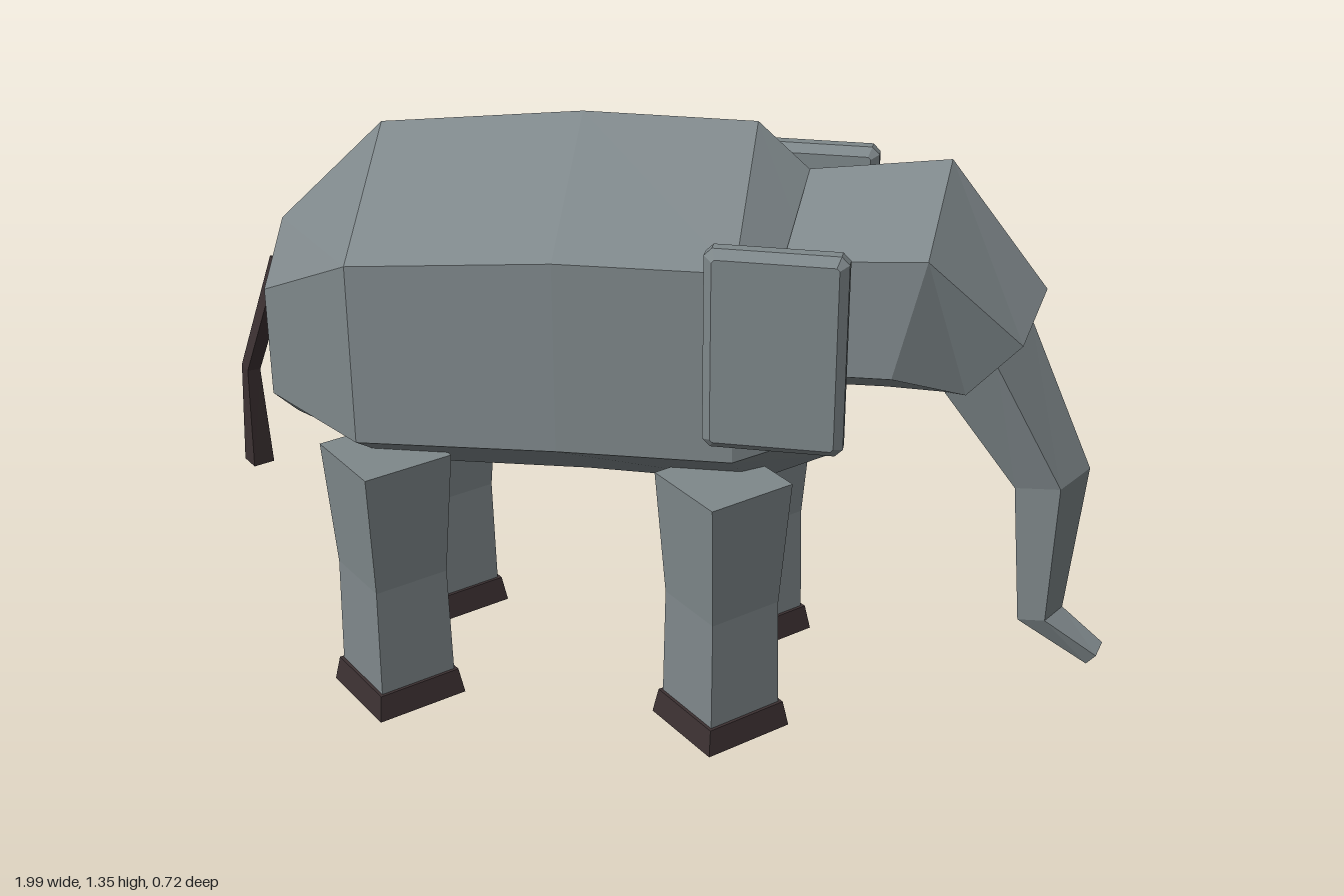
import * as THREE from 'three';

// Skin closed rings of points (counter-clockwise seen from the end ring), with flat caps
function loft(rings) {
  const pos = [];
  const tri = (a, b, c) => pos.push(...a, ...b, ...c);
  const n = rings[0].length;
  for (let i = 0; i < rings.length - 1; i++) {
    for (let j = 0; j < n; j++) {
      const k = (j + 1) % n;
      const [a, b, c, d] = [rings[i][j], rings[i][k], rings[i + 1][k], rings[i + 1][j]];
      tri(a, b, c);
      tri(a, c, d);
    }
  }
  const first = rings[0], last = rings[rings.length - 1];
  for (let j = 1; j < n - 1; j++) {
    tri(first[0], first[j + 1], first[j]);
    tri(last[0], last[j], last[j + 1]);
  }
  const g = new THREE.BufferGeometry();
  g.setAttribute('position', new THREE.Float32BufferAttribute(pos, 3));
  g.computeVertexNormals();
  return g;
}

// Six-sided ring: top ridge, upper side, lower side, bottom keel, each as [x, y]
const hexRing = (w, top, upper, lower, bottom) => [
  [...top, 0], [...upper, w], [...lower, w], [...bottom, 0], [...lower, -w], [...upper, -w],
];

// Regular ring in a plane holding the z axis; angle turns its first corner from +x
const roundRing = (sides, x, y, r, angle) => Array.from({ length: sides }, (_, i) => {
  const t = (i / sides) * Math.PI * 2;
  const u = Math.cos(t) * r;
  return [x + Math.cos(angle) * u, y + Math.sin(angle) * u, Math.sin(t) * r];
});

export function createModel() {
  const group = new THREE.Group();
  const hide = new THREE.MeshStandardMaterial({ color: 0x7f888b, flatShading: true });
  hide.name = 'greyHide';
  const dark = new THREE.MeshStandardMaterial({ color: 0x3c3132, flatShading: true });
  dark.name = 'darkBrown';

  const add = (name, geometry, material, parent = group) => {
    const mesh = new THREE.Mesh(geometry, material);
    mesh.name = name;
    parent.add(mesh);
    return mesh;
  };

  // Body: x, half width, then heights of ridge, upper side, lower side, keel
  const bodyStations = [
    [-0.86, 0.145, 1.06, 0.95, 0.70, 0.585],
    [-0.62, 0.31, 1.297, 1.09, 0.683, 0.483],
    [-0.18, 0.325, 1.347, 1.135, 0.71, 0.5],
    [0.19, 0.31, 1.347, 1.135, 0.71, 0.5],
    [0.36, 0.21, 1.195, 1.05, 0.74, 0.583],
  ];
  add('body', loft(bodyStations.map(([x, w, a, b, c, d]) =>
    hexRing(w, [x, a], [x, b], [x, c], [x, d]))), hide);

  // Head: slanted rings
  add('head', loft([
    hexRing(0.22, [0.30, 1.25], [0.275, 1.13], [0.25, 0.88], [0.235, 0.755]),
    hexRing(0.235, [0.593, 1.29], [0.567, 1.157], [0.505, 0.893], [0.48, 0.762]),
    hexRing(0.15, [0.805, 1.017], [0.765, 0.95], [0.655, 0.829], [0.602, 0.76]),
  ]), hide);

  // Trunk: five-sided, one edge facing forward
  add('trunk', loft([
    roundRing(5, 0.685, 0.862, 0.126, 0.735),
    roundRing(5, 0.841, 0.584, 0.089, 0.226),
    roundRing(5, 0.843, 0.236, 0.055, 0.25),
    roundRing(5, 0.974, 0.139, 0.032, 0.985),
  ]), hide);

  // Tail: four-sided, widening to the tuft
  add('tail', loft([
    roundRing(4, -0.873, 0.957, 0.025, -0.4),
    roundRing(4, -0.965, 0.687, 0.022, -0.2),
    roundRing(4, -0.965, 0.447, 0.035, 0),
  ]), dark);

  // Ears: thin bevelled slabs with clipped corners
  const bevel = 0.018, hw = 0.145 - bevel, hh = 0.22 - bevel, c = 0.006;
  const outline = new THREE.Shape([
    [-hw + c, -hh], [hw - c, -hh], [hw, -hh + c], [hw, hh - c],
    [hw - c, hh], [-hw + c, hh], [-hw, hh - c], [-hw, -hh + c],
  ].map(([x, y]) => new THREE.Vector2(x, y)));
  const earGeometry = new THREE.ExtrudeGeometry(outline, {
    depth: 0.024, bevelEnabled: true, bevelSegments: 1, bevelSize: bevel, bevelThickness: bevel,
  }).translate(0, 0, -0.012);

  // Legs: diamond section with a slight waist, on flared feet
  const upperLeg = new THREE.CylinderGeometry(0.149, 0.125, 0.295, 4).translate(0, 0.4675, 0);
  const lowerLeg = new THREE.CylinderGeometry(0.125, 0.131, 0.26, 4).translate(0, 0.19, 0);
  const foot = new THREE.CylinderGeometry(0.141, 0.155, 0.06, 4).translate(0, 0.03, 0);

  for (const [side, s] of [['left', 1], ['right', -1]]) {
    add(side + 'Ear', earGeometry, hide).position.set(0.275, 0.975, s * 0.316);
    for (const [end, x] of [['Front', 0.157], ['Back', -0.591]]) {
      const leg = new THREE.Group();
      leg.name = side + end + 'Leg';
      leg.position.set(x, 0, s * 0.205);
      add('upperLeg', upperLeg, hide, leg);
      add('lowerLeg', lowerLeg, hide, leg);
      add('foot', foot, dark, leg);
      group.add(leg);
    }
  }
  return group;
}
